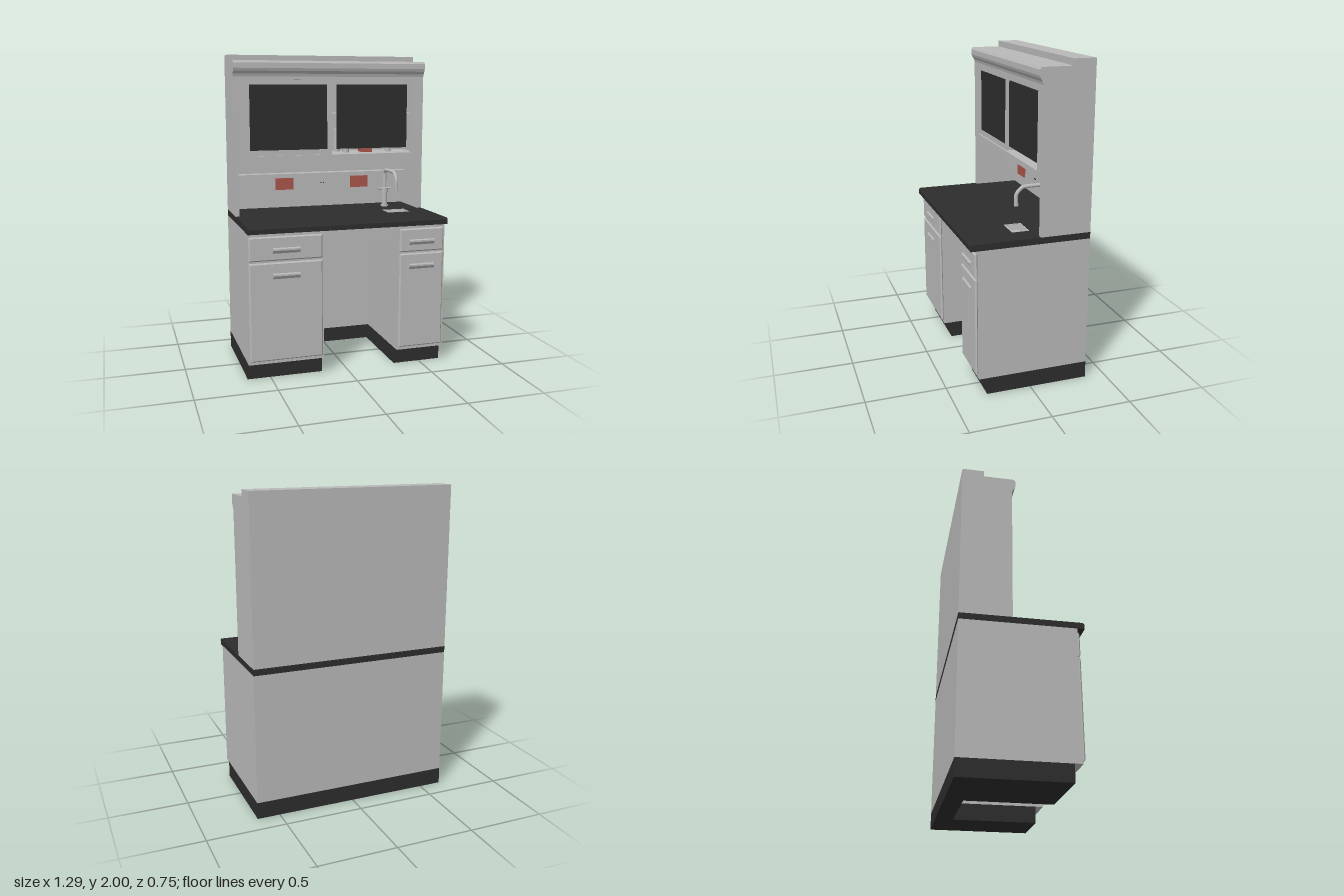
import * as THREE from 'three';

const mat = (name, color, side = THREE.FrontSide) => {
  const m = new THREE.MeshStandardMaterial({ color, side });
  m.name = name;
  return m;
};

export function createModel() {
  const model = new THREE.Group();
  model.name = 'workstation';
  const grey = mat('lightGrey', 0xb9b9b9);
  const dark = mat('charcoal', 0x2d2d2d);
  const red = mat('brickRed', 0xaa5549);

  const add = (name, geo, material) => {
    const mesh = new THREE.Mesh(geo, material);
    mesh.name = name;
    model.add(mesh);
    return mesh;
  };
  // Box given by its limits on each axis
  const box = (name, m, x0, x1, y0, y1, z0, z1) =>
    add(name, new THREE.BoxGeometry(x1 - x0, y1 - y0, z1 - z0)
      .translate((x0 + x1) / 2, (y0 + y1) / 2, (z0 + z1) / 2), m);
  const rect = (x0, x1, y0, y1, Type = THREE.Shape) =>
    new Type([[x0, y0], [x1, y0], [x1, y1], [x0, y1]].map(p => new THREE.Vector2(...p)));
  // Plate in the xy plane with a rectangular hole
  const frame = (name, m, outer, inner, z0, z1) => {
    const s = rect(...outer);
    s.holes.push(rect(...inner, THREE.Path));
    return add(name, new THREE.ExtrudeGeometry(s, { depth: z1 - z0, bevelEnabled: false }).translate(0, 0, z0), m);
  };
  // Side profile of [z, y] points run along x
  const run = (name, m, pts, x0, x1) => {
    const s = new THREE.Shape(pts.map(p => new THREE.Vector2(...p)));
    return add(name, new THREE.ExtrudeGeometry(s, { depth: x1 - x0, bevelEnabled: false })
      .rotateY(-Math.PI / 2).translate(x1, 0, 0), m);
  };
  const cyl = (name, m, r, h, x, y, z, axis = 'y') => {
    const g = new THREE.CylinderGeometry(r, r, h, 16);
    if (axis === 'x') g.rotateZ(Math.PI / 2);
    if (axis === 'z') g.rotateX(Math.PI / 2);
    return add(name, g.translate(x, y, z), m);
  };

  const W = 0.645, B = -0.373;
  const kneeL = -0.165, kneeR = 0.325;

  // Base cabinets, knee space and plinths
  box('leftPlinth', dark, -W, kneeL, 0, 0.107, B, 0.28);
  box('rightPlinth', dark, kneeR, W, 0, 0.107, B, 0.28);
  box('backPlinth', dark, kneeL, kneeR, 0, 0.107, B, -0.26);
  box('leftCabinet', grey, -W, kneeL, 0.107, 0.93, B, 0.33);
  box('rightCabinet', grey, kneeR, W, 0.107, 0.93, B, 0.33);
  box('kneeBackPanel', grey, kneeL, kneeR, 0.107, 0.93, B, -0.23);
  box('apron', grey, kneeL, kneeR, 0.84, 0.93, 0.31, 0.328);

  // Bevelled drawer and door fronts with lip pulls
  const front = (name, x0, x1, y0, y1) => {
    const b = 0.008;
    add(name, new THREE.ExtrudeGeometry(rect(x0 + b, x1 - b, y0 + b, y1 - b), {
      depth: 0.002, bevelEnabled: true, bevelSize: b, bevelThickness: b, bevelSegments: 1,
    }).translate(0, 0, 0.336), grey);
  };
  for (const [x0, x1, h] of [[-0.637, -0.176, -0.405], [0.333, 0.632, 0.48]]) {
    front('drawerFront', x0, x1, 0.757, 0.907);
    front('doorFront', x0, x1, 0.128, 0.746);
    for (const y of [0.803, 0.645]) {
      run('pullHandle', grey, [
        [0.344, y + 0.034], [0.354, y + 0.034], [0.359, y + 0.028], [0.359, y + 0.018],
        [0.348, y], [0.344, y],
      ], h - 0.085, h + 0.085);
    }
  }

  // Worktop with sink cut-out and chamfered nosing
  const sx0 = 0.355, sx1 = 0.505, sz0 = -0.035, sz1 = 0.075;
  const top = rect(-W, W, -0.362, -B);
  top.holes.push(rect(sx0, sx1, -sz1, -sz0, THREE.Path));
  add('worktop', new THREE.ExtrudeGeometry(top, { depth: 0.04, bevelEnabled: false })
    .rotateX(-Math.PI / 2).translate(0, 0.93, 0), dark);
  run('worktopNosing', dark, [
    [0.362, 0.93], [0.375, 0.93], [0.375, 0.96], [0.366, 0.97], [0.362, 0.97],
  ], -W, W);

  // Sink: rim, sloping walls and floor
  const rim = rect(sx0, sx1, -sz1, -sz0);
  rim.holes.push(rect(sx0 + 0.008, sx1 - 0.008, -sz1 + 0.008, -sz0 - 0.008, THREE.Path));
  add('sinkRim', new THREE.ExtrudeGeometry(rim, { depth: 0.003, bevelEnabled: false })
    .rotateX(-Math.PI / 2).translate(0, 0.969, 0), grey);
  const basin = new THREE.BoxGeometry(sx1 - sx0 - 0.014, 0.036, sz1 - sz0 - 0.014);
  const bp = basin.attributes.position;
  for (let i = 0; i < bp.count; i++) {
    if (bp.getY(i) < 0) {
      bp.setX(i, bp.getX(i) - Math.sign(bp.getX(i)) * 0.008);
      bp.setZ(i, bp.getZ(i) - Math.sign(bp.getZ(i)) * 0.008);
    }
  }
  // Drop the top face and turn the rest inward
  const idx = Array.from(basin.index.array).filter((v, i) => i < 12 || i >= 18);
  basin.setIndex(idx.reverse());
  const inside = basin.toNonIndexed();
  inside.computeVertexNormals();
  add('sinkBasin', inside.translate((sx0 + sx1) / 2, 0.952, (sz0 + sz1) / 2), grey);

  // Tap: base, valve cross handle and angular spout
  const fx = 0.43, fz = -0.2;
  cyl('tapBase', grey, 0.025, 0.012, fx, 0.976, fz);
  cyl('tapBody', grey, 0.018, 0.12, fx, 1.03, fz);
  cyl('tapCollar', grey, 0.024, 0.03, fx, 1.085, fz);
  cyl('tapHandle', grey, 0.007, 0.09, fx, 1.095, fz, 'x');
  const path = new THREE.CatmullRomCurve3([
    [fz, 1.08], [fz, 1.19], [fz, 1.205], [fz + 0.012, 1.222], [fz + 0.028, 1.226],
    [-0.03, 1.226], [-0.015, 1.222], [0.013, 1.195], [0.022, 1.178], [0.022, 1.11],
  ].map(([z, y]) => new THREE.Vector3(fx, y, z)), false, 'centripetal');
  add('tapSpout', new THREE.TubeGeometry(path, 60, 0.012, 12), grey);
  cyl('tapNozzle', grey, 0.013, 0.02, fx, 1.119, 0.022);

  // Upper unit carcass
  const F = -0.055;
  box('upperBack', grey, -W, W, 0.97, 1.86, B, -0.355);
  box('upperLeftSide', grey, -W, -0.62, 0.97, 1.86, -0.355, F);
  box('upperRightSide', grey, 0.615, W, 0.97, 1.86, -0.355, F);
  box('nookCeiling', grey, -0.62, 0.615, 1.32, 1.355, -0.355, F - 0.03);
  frame('cabinetFace', grey, [-0.62, 0.615, 1.32, 1.86], [-0.57, 0.565, 1.355, 1.84], F - 0.03, F);

  // Cornice with stepped top and hollowed underside
  run('cornice', grey, [
    [B, 1.86], [F, 1.86], [-0.05, 1.878], [-0.038, 1.895], [-0.032, 1.912],
    [-0.032, 1.945], [-0.042, 1.96], [-0.235, 1.96], [-0.235, 2], [B, 2],
  ], -W, W);

  // Cabinet doors and interior
  frame('leftDoorFrame', grey, [-0.57, 0.005, 1.355, 1.84], [-0.54, -0.025, 1.39, 1.81], -0.085, -0.067);
  box('leftDoorPane', dark, -0.54, -0.025, 1.39, 1.81, -0.078, -0.07);
  box('rightDoorPane', dark, 0.04, 0.535, 1.39, 1.81, -0.078, -0.07);
  box('divider', grey, -0.015, 0.005, 1.355, 1.86, -0.355, -0.085);
  box('shelf', grey, 0.005, 0.615, 1.6, 1.62, -0.355, -0.12);
  for (const x of [0.1, 0.145, 0.45]) cyl('bottle', grey, 0.021, 0.16, x, 1.435, x === 0.1 ? -0.27 : -0.2);
  box('storedBox', red, 0.25, 0.325, 1.355, 1.5, -0.25, -0.17);

  // Service raceway with sockets
  const R = -0.28;
  box('raceway', grey, -0.62, 0.615, 1.08, 1.21, -0.355, R);
  for (const x of [-0.27, 0.265]) {
    frame('socketSurround', red, [x - 0.062, x + 0.062, 1.103, 1.182], [x - 0.054, x + 0.054, 1.111, 1.174], R, R + 0.012);
    box('socketPlate', red, x - 0.054, x + 0.054, 1.111, 1.174, R, R + 0.008);
  }
  box('outletPlate', grey, -0.035, 0.03, 1.105, 1.18, R, R + 0.008);
  for (const x of [-0.012, 0.007]) {
    box('outletSlot', dark, x - 0.003, x + 0.003, 1.139, 1.147, R + 0.008, R + 0.01);
  }

  return model;
}
